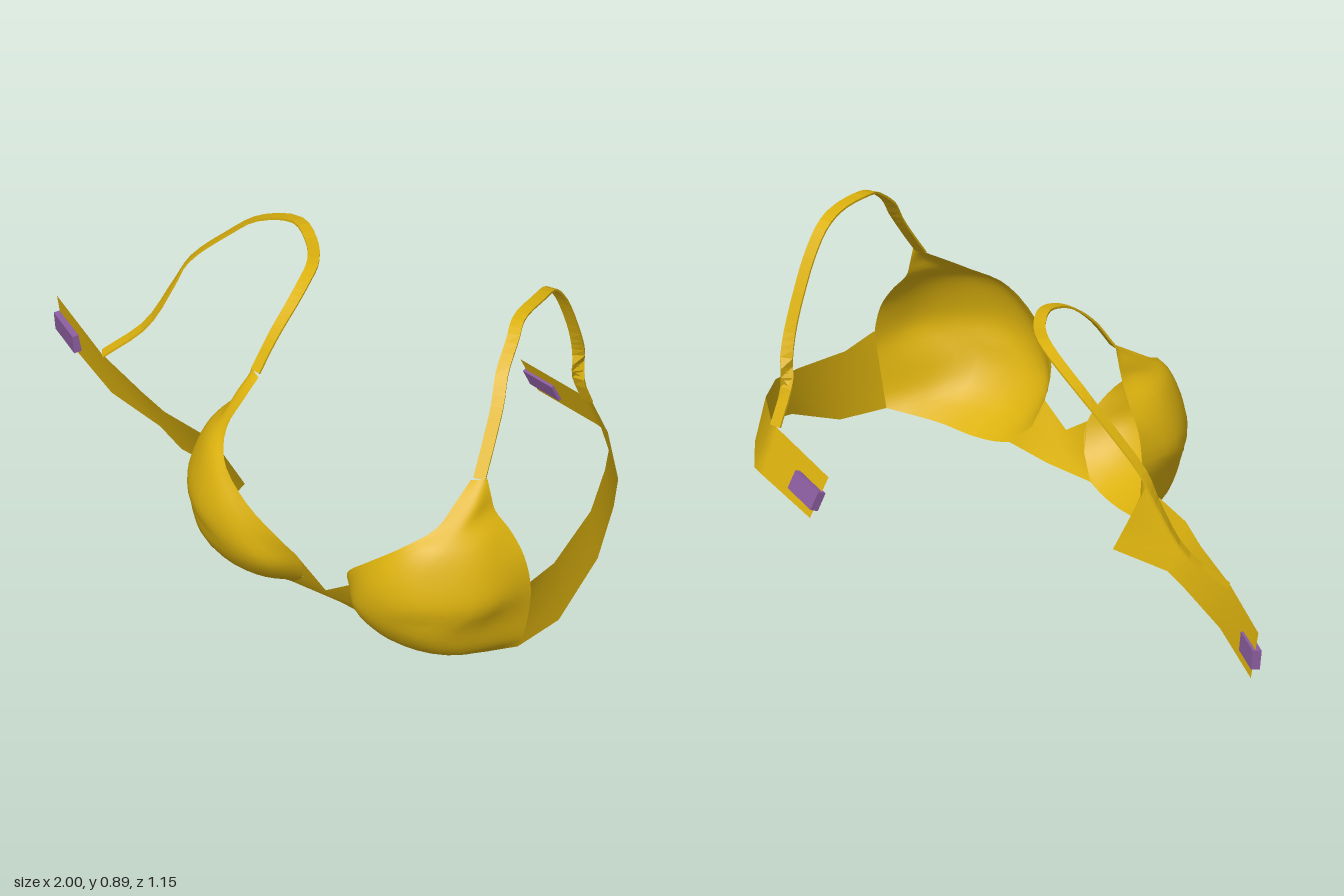
import * as THREE from 'three';

const fabric = new THREE.MeshStandardMaterial({ color: 0xdcb20e, side: THREE.DoubleSide });
fabric.name = 'golden fabric';
const clasp = new THREE.MeshStandardMaterial({ color: 0x8c5ea0 });
clasp.name = 'purple clasp';

const V = (p) => new THREE.Vector3(...p);
const smooth = (pts, n) => new THREE.CatmullRomCurve3(pts, false, 'centripetal').getPoints(n);
const MIRROR = 0.86; // the cups mirror about x = 0.43

// Surface through rows of equal length
function sheet(name, rows) {
  const w = rows[0].length, pos = [], idx = [];
  rows.forEach((r) => r.forEach((p) => pos.push(p.x, p.y, p.z)));
  for (let i = 0; i < rows.length - 1; i++) {
    for (let j = 0; j < w - 1; j++) {
      const a = i * w + j, b = a + w;
      idx.push(a, a + 1, b, a + 1, b + 1, b);
    }
  }
  const g = new THREE.BufferGeometry();
  g.setAttribute('position', new THREE.Float32BufferAttribute(pos, 3));
  g.setIndex(idx);
  g.computeVertexNormals();
  const m = new THREE.Mesh(g, fabric);
  m.name = name;
  return m;
}

// Cup cross-sections from bottom to strap, inner edge to outer edge
const cupRows = [
  [[0.60, 0.02, 0.40], [0.66, 0.005, 0.39], [0.74, 0, 0.375], [0.84, 0.01, 0.35], [0.96, 0.04, 0.26]],
  [[0.54, 0.08, 0.43], [0.62, 0.07, 0.48], [0.73, 0.065, 0.49], [0.87, 0.07, 0.44], [0.975, 0.08, 0.255]],
  [[0.52, 0.16, 0.46], [0.60, 0.16, 0.54], [0.72, 0.16, 0.555], [0.88, 0.16, 0.49], [0.99, 0.16, 0.25]],
  [[0.555, 0.25, 0.515], [0.68, 0.25, 0.572], [0.83, 0.25, 0.548], [0.96, 0.25, 0.42], [0.995, 0.25, 0.245]],
  [[0.65, 0.34, 0.54], [0.74, 0.34, 0.558], [0.84, 0.34, 0.525], [0.945, 0.34, 0.41], [0.975, 0.35, 0.25]],
  [[0.75, 0.42, 0.515], [0.80, 0.42, 0.505], [0.86, 0.42, 0.465], [0.92, 0.42, 0.37], [0.93, 0.42, 0.255]],
  [[0.81, 0.47, 0.435], [0.865, 0.47, 0.38], [0.885, 0.475, 0.268]],
  [[0.815, 0.52, 0.355], [0.86, 0.52, 0.32], [0.87, 0.52, 0.268]],
  [[0.815, 0.56, 0.29], [0.84, 0.565, 0.28], [0.857, 0.57, 0.268]],
];

function cup(name, mirrored) {
  const rows = cupRows.map((r) => smooth(r.map(V), 14));
  const cols = rows[0].map((_, j) => smooth(rows.map((r) => r[j]), 28));
  if (mirrored) {
    cols.forEach((c) => c.forEach((p) => { p.x = MIRROR - p.x; }));
    cols.reverse();
  }
  return sheet(name, cols);
}

// Band between a top edge and a bottom edge
function band(name, top, bottom) {
  const t = top.map(V), b = bottom.map(V);
  return sheet(name, t.map((p, i) => [p, p.clone().lerp(b[i], 0.5), b[i]]));
}

// Flat ribbon with a little thickness, kept level across its width
function strap(name, path, width) {
  const curve = new THREE.CatmullRomCurve3(path.map(V), false, 'centripetal');
  const n = 40, up = new THREE.Vector3(0, 1, 0), rows = [];
  for (let i = 0; i <= n; i++) {
    const p = curve.getPoint(i / n), t = curve.getTangent(i / n);
    const side = t.clone().cross(up).normalize();
    const out = side.clone().cross(t).normalize();
    rows.push([[-1, -1], [1, -1], [1, 1], [-1, 1], [-1, -1]].map(([a, b]) =>
      p.clone().addScaledVector(side, a * width / 2).addScaledVector(out, b * 0.003)));
  }
  const m = sheet(name, rows);
  m.geometry = m.geometry.toNonIndexed();
  m.geometry.computeVertexNormals();
  return m;
}

// Clasp block aligned with the band end
function claspBlock(name, center, along, up) {
  const m = new THREE.Mesh(new THREE.BoxGeometry(0.13, 0.057, 0.026), clasp);
  const x = V(along).normalize();
  const z = x.clone().cross(V(up)).normalize();
  m.setRotationFromMatrix(new THREE.Matrix4().makeBasis(x, z.clone().cross(x), z));
  m.position.set(...center);
  m.name = name;
  return m;
}

export function createModel() {
  const g = new THREE.Group();
  g.name = 'brassiere';
  g.add(cup('leftCup', false), cup('rightCup', true));

  // Centre bridge
  g.add(sheet('centreBridge', [
    [[0.34, 0.16, 0.46], [0.43, 0.10, 0.46], [0.52, 0.16, 0.46]],
    [[0.32, 0.08, 0.43], [0.43, 0.06, 0.43], [0.54, 0.08, 0.43]],
    [[0.26, 0.02, 0.40], [0.43, 0.02, 0.39], [0.60, 0.02, 0.40]],
  ].map((r) => r.map(V))));

  // Side bands
  g.add(band('leftBand',
    [[0.995, 0.27, 0.245], [0.975, 0.255, 0.12], [0.925, 0.29, -0.1], [0.86, 0.325, -0.24],
      [0.80, 0.32, -0.33], [0.64, 0.34, -0.45], [0.60, 0.337, -0.462], [0.32, 0.305, -0.52]],
    [[0.96, 0.04, 0.26], [0.975, 0.05, 0.1], [0.95, 0.14, -0.1], [0.875, 0.195, -0.26],
      [0.80, 0.195, -0.37], [0.65, 0.213, -0.505], [0.60, 0.21, -0.518], [0.345, 0.185, -0.567]]));
  g.add(band('rightBand',
    [[-0.135, 0.27, 0.245], [-0.17, 0.215, 0.23], [-0.38, 0.195, 0.19], [-0.50, 0.178, 0.14],
      [-0.72, 0.165, 0.055], [-0.998, 0.16, -0.085]],
    [[-0.10, 0.04, 0.26], [-0.13, 0.035, 0.14], [-0.36, 0.05, 0.14], [-0.47, 0.055, 0.10],
      [-0.70, 0.03, 0.035], [-0.983, 0.02, -0.10]]));

  // Shoulder straps
  g.add(strap('leftStrap', [
    [0.836, 0.565, 0.278], [0.815, 0.65, 0.21], [0.795, 0.73, 0.15], [0.77, 0.80, 0.10],
    [0.745, 0.86, 0.025], [0.715, 0.887, -0.04], [0.695, 0.887, -0.15], [0.672, 0.865, -0.23],
    [0.66, 0.80, -0.287], [0.65, 0.71, -0.335], [0.64, 0.60, -0.38], [0.63, 0.53, -0.402],
    [0.622, 0.44, -0.41], [0.617, 0.335, -0.455]], 0.036));
  g.add(strap('rightStrap', [
    [0.024, 0.565, 0.278], [0.035, 0.66, 0.21], [0.037, 0.72, 0.14], [0.025, 0.755, 0.07],
    [0, 0.772, 0], [-0.07, 0.77, -0.08], [-0.17, 0.765, -0.14], [-0.33, 0.69, -0.155],
    [-0.42, 0.61, -0.135], [-0.53, 0.49, -0.10], [-0.57, 0.40, -0.08], [-0.63, 0.26, -0.03],
    [-0.72, 0.163, 0.05]], 0.034));

  // Clasps at the band ends
  g.add(claspBlock('leftClasp', [0.39, 0.245, -0.54], [0.31, 0.035, 0.065], [0, 0.12, 0.05]));
  g.add(claspBlock('rightClasp', [-0.938, 0.078, -0.062], [0.28, 0, 0.14], [0, 0.14, 0.015]));
  return g;
}
